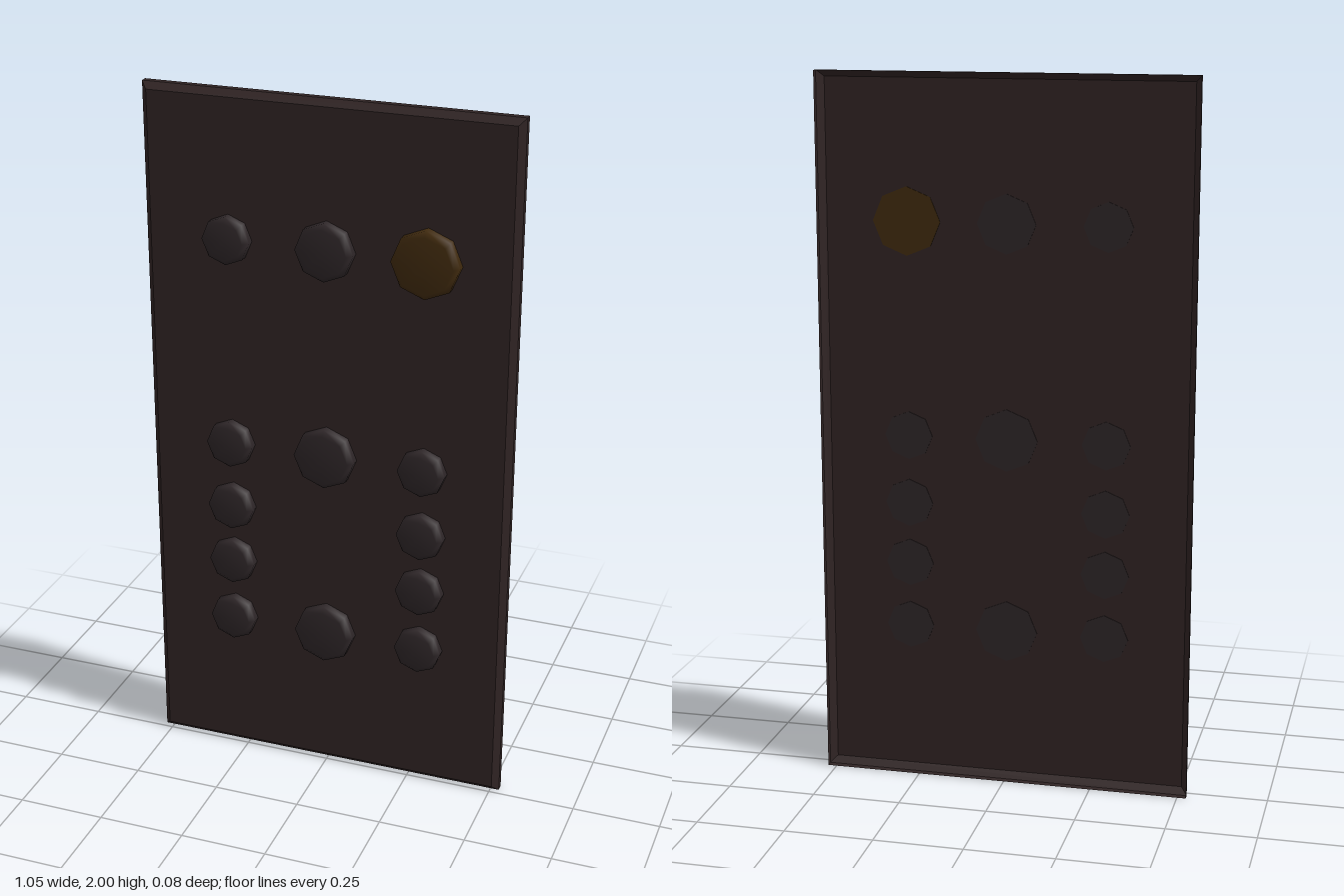
import * as THREE from 'three';

const panelMat = new THREE.MeshStandardMaterial({ name: 'dark brown plastic', color: 0x302424, side: THREE.DoubleSide });
const buttonMat = new THREE.MeshStandardMaterial({ name: 'charcoal button', color: 0x2e2628 });
const amberMat = new THREE.MeshStandardMaterial({ name: 'dark amber button', color: 0x402a0e });

// Open-backed shell: rectangular rings from the back edge to the chamfered front
function panelGeometry() {
  const rings = [[0.525, 1, -0.038], [0.525, 1, -0.018], [0.507, 0.982, 0]];
  const positions = [];
  const index = [];
  for (const [w, h, z] of rings) {
    positions.push(-w, 1 - h, z, w, 1 - h, z, w, 1 + h, z, -w, 1 + h, z);
  }
  for (let r = 0; r < rings.length - 1; r++) {
    for (let i = 0; i < 4; i++) {
      const a = r * 4 + i, b = r * 4 + (i + 1) % 4;
      index.push(a, b, b + 4, a, b + 4, a + 4);
    }
  }
  index.push(8, 9, 10, 8, 10, 11); // front face
  const indexed = new THREE.BufferGeometry();
  indexed.setAttribute('position', new THREE.Float32BufferAttribute(positions, 3));
  indexed.setIndex(index);
  const geometry = indexed.toNonIndexed();
  geometry.computeVertexNormals();
  return geometry;
}

// Eight-sided button with a chamfered front and a flat base just behind the panel face
function makeButton(name, x, y, r, material) {
  const button = new THREE.Group();
  button.name = name;
  const profile = [[r, -0.002], [r, 0.024], [r - 0.015, 0.037], [0, 0.037]]
    .map(([px, py]) => new THREE.Vector2(px, py));
  const cap = new THREE.Mesh(new THREE.LatheGeometry(profile, 8).rotateX(Math.PI / 2), material);
  cap.name = name + 'Cap';
  const base = new THREE.Mesh(new THREE.CircleGeometry(r, 8).rotateY(Math.PI), material);
  base.name = name + 'Base';
  base.position.z = -0.002;
  button.add(cap, base);
  button.position.set(x, y, 0);
  return button;
}

export function createModel() {
  const model = new THREE.Group();
  model.name = 'buttonPanel';

  const panel = new THREE.Mesh(panelGeometry(), panelMat);
  panel.name = 'panel';
  model.add(panel);

  // Top row
  model.add(makeButton('topRightButton', -0.28, 1.595, 0.068, buttonMat));
  model.add(makeButton('topMiddleButton', 0, 1.595, 0.082, buttonMat));
  model.add(makeButton('amberButton', 0.28, 1.595, 0.095, amberMat));

  // Side columns
  [0.995, 0.8, 0.625, 0.44].forEach((y, i) => {
    model.add(makeButton('leftButton' + (i + 1), 0.28, y, 0.068, buttonMat));
    model.add(makeButton('rightButton' + (i + 1), -0.28, y, 0.068, buttonMat));
  });

  // Large centre buttons
  model.add(makeButton('upperCentreButton', 0, 0.995, 0.088, buttonMat));
  model.add(makeButton('lowerCentreButton', 0, 0.44, 0.088, buttonMat));

  return model;
}
